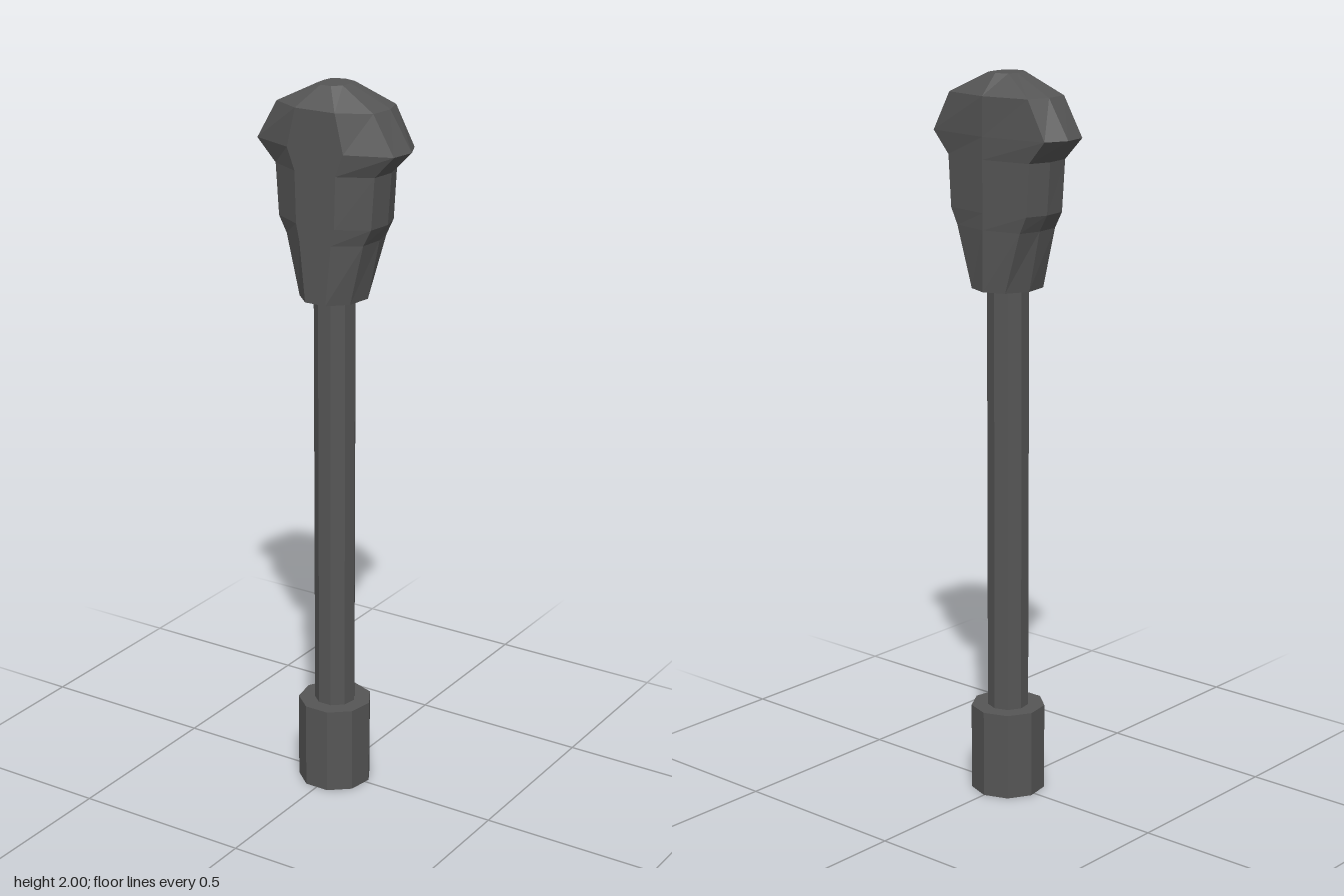
import * as THREE from 'three';

const SIDES = 9;
const material = new THREE.MeshStandardMaterial({ color: 0x555555, flatShading: true, side: THREE.FrontSide });

// Nine-sided post with a corner pointing backwards
function post(name, radius, y0, y1) {
  const geometry = new THREE.CylinderGeometry(radius, radius, y1 - y0, SIDES, 1, false, Math.PI);
  geometry.translate(0, (y0 + y1) / 2, 0.003);
  const mesh = new THREE.Mesh(geometry, material);
  mesh.name = name;
  return mesh;
}

// Half outline of the head, from the back corner round to the front: relative width and depth
const flatOutline = [0, 0.87, 1, 0.95, 0.39];
const roundOutline = [0, 0.65, 1, 0.88, 0.35];
const depths = [-0.1, -0.077, -0.016, 0.054, 0.1];

// Head levels: height, half width, depth scale, outline
const levels = [
  [1.43, 0.09, 1, roundOutline],
  [1.595, 0.125, 1, flatOutline],
  [1.64, 0.15, 1, flatOutline],
  [1.78, 0.16, 1, flatOutline],
  [1.84, 0.22, 1, flatOutline],
  [1.945, 0.155, 1, flatOutline],
  [2.0, 0.04, 0.48, flatOutline],
];

// Flat, mushroom-topped head lofted through the levels
function headGeometry() {
  const positions = [];
  const index = [];
  for (const [y, width, depth, outline] of levels) {
    for (let i = 0; i < SIDES; i++) {
      const k = i < 5 ? i : SIDES - i;
      positions.push((i < 5 ? 1 : -1) * outline[k] * width, y, depths[k] * depth);
    }
  }
  for (let r = 0; r < levels.length - 1; r++) {
    for (let i = 0; i < SIDES; i++) {
      const a = r * SIDES + i;
      const b = r * SIDES + (i + 1) % SIDES;
      index.push(a, a + SIDES, b, b, a + SIDES, b + SIDES);
    }
  }
  // Caps
  const top = (levels.length - 1) * SIDES;
  for (let i = 1; i < SIDES - 1; i++) {
    index.push(0, i, i + 1);
    index.push(top, top + i + 1, top + i);
  }
  const geometry = new THREE.BufferGeometry();
  geometry.setAttribute('position', new THREE.Float32BufferAttribute(positions, 3));
  geometry.setIndex(index);
  const flat = geometry.toNonIndexed();
  flat.computeVertexNormals();
  return flat;
}

export function createModel() {
  const group = new THREE.Group();
  const head = new THREE.Mesh(headGeometry(), material);
  head.name = 'head';
  group.add(post('base', 0.103, 0, 0.245), post('shaft', 0.057, 0.2, 1.45), head);
  return group;
}
